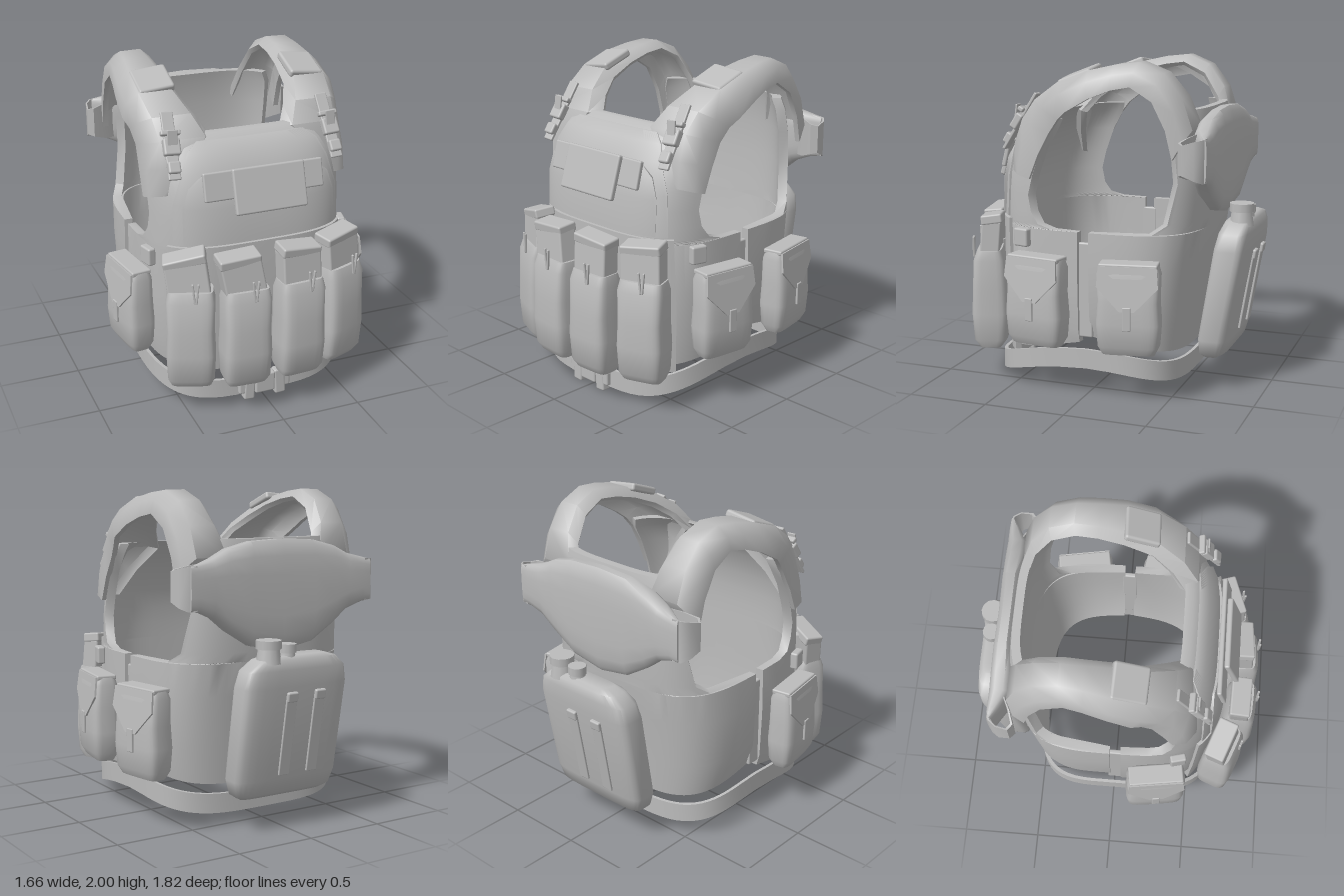
import * as THREE from 'three';
import { toCreasedNormals } from 'three/addons/utils/BufferGeometryUtils.js';
import { RoundedBoxGeometry } from 'three/addons/geometries/RoundedBoxGeometry.js';

const fabric = new THREE.MeshStandardMaterial({ color: 0xbbbbbb, side: THREE.DoubleSide });
fabric.name = 'grey fabric';

function add(parent, name, geo, pos = [0, 0, 0], rot = [0, 0, 0]) {
  const m = new THREE.Mesh(geo, fabric);
  m.name = name;
  m.position.set(...pos);
  m.rotation.set(...rot);
  parent.add(m);
  return m;
}

const box = (w, h, d, r = 0.012) => new RoundedBoxGeometry(w, h, d, 2, Math.min(r, w / 3, h / 3, d / 3));

// Skin a row of closed cross-sections; loop joins the last to the first
function loft(rings, { loop = false, crease = 0.75 } = {}) {
  const n = rings[0].length, pos = rings.flat(2), idx = [];
  const spans = loop ? rings.length : rings.length - 1;
  for (let i = 0; i < spans; i++) {
    const a = i * n, b = ((i + 1) % rings.length) * n;
    for (let j = 0; j < n; j++) {
      const k = (j + 1) % n;
      idx.push(a + j, a + k, b + j, a + k, b + k, b + j);
    }
  }
  if (!loop) {
    // caps pair opposite points so that thin curved sections stay closed
    const e = (rings.length - 1) * n;
    for (let j = 0; j < n / 2 - 1; j++) {
      const p = j, q = j + 1, r = n - 2 - j, s = n - 1 - j;
      idx.push(p, s, q, q, s, r, e + p, e + q, e + s, e + q, e + r, e + s);
    }
  }
  const g = new THREE.BufferGeometry();
  g.setAttribute('position', new THREE.Float32BufferAttribute(pos, 3));
  g.setIndex(idx);
  return toCreasedNormals(g, crease);
}

// Plan curve of the torso: a rounded box outline
const N = 3.6;
const spow = (v, p) => Math.sign(v) * Math.abs(v) ** p;
const plan = (t, hw, zf) => [hw * spow(Math.sin(t), 2 / N), zf * spow(Math.cos(t), 2 / N)];
const tAtZ = (z, zf) => Math.acos((z / zf) ** (N / 2));
const tAtX = (x, hw) => Math.asin((x / hw) ** (N / 2));

// Curved wall; rows: [y, half width, depth, edge angle], lift raises the sides of the first row
function wall(rows, thick, lift = 0, seg = 32) {
  return loft(rows.map(([y, hw, zf, tm], i) => {
    const outer = [], inner = [];
    for (let j = 0; j <= seg; j++) {
      const t = tm * (2 * j / seg - 1);
      const [x, z] = plan(t, hw, zf);
      const [xi, zi] = plan(t, hw - thick, zf - Math.sign(zf) * thick);
      const yy = y + (i === 0 ? lift * (1 - z / zf) : 0);
      outer.push([x, yy, z]);
      inner.push([xi, yy, zi]);
    }
    return outer.concat(inner.reverse());
  }));
}

// Soft block; rows: [y, width, depth, z centre]
function softBlock(rows, power = 5, n = 24) {
  return loft(rows.map(([y, w, d, z = 0]) => Array.from({ length: n }, (_, j) => {
    const a = ((j + 0.5) / n) * Math.PI * 2;
    return [w / 2 * spow(Math.cos(a), 2 / power), y, z + d / 2 * spow(Math.sin(a), 2 / power)];
  })), { crease: 0.9 });
}

const pouchGeo = (w, h, d) => softBlock([
  [0, w * 0.82, d * 0.6], [0.05, w * 0.95, d * 0.9], [h * 0.35, w, d],
  [h * 0.6, w * 0.95, d * 0.95], [h * 0.9, w * 0.98, d * 0.86], [h, w * 0.9, d * 0.66]]);

function torso(g) {
  const fr = (y, hw, zf, ze) => [y, hw, zf, tAtZ(ze, zf)];
  add(g, 'frontPanel', wall([
    fr(0.21, 0.62, 0.6, 0.05), fr(0.4, 0.64, 0.63, 0.05), fr(0.7, 0.65, 0.64, 0.05), fr(1.0, 0.645, 0.645, 0.05),
    fr(1.005, 0.645, 0.645, 0.22), fr(1.03, 0.645, 0.645, 0.31), fr(1.1, 0.64, 0.645, 0.36), fr(1.2, 0.64, 0.64, 0.38),
    fr(1.32, 0.635, 0.625, 0.35), fr(1.48, 0.63, 0.57, 0.29), fr(1.6, 0.62, 0.49, 0.22), fr(1.66, 0.6, 0.42, 0.2)], 0.05, 0.12));
  add(g, 'backPanel', wall([
    fr(0.26, 0.6, -0.54, -0.02), fr(0.5, 0.64, -0.565, -0.02), fr(0.8, 0.65, -0.6, -0.02), fr(1.0, 0.645, -0.63, -0.02),
    fr(1.005, 0.645, -0.63, -0.4), fr(1.06, 0.64, -0.635, -0.48), fr(1.3, 0.63, -0.65, -0.53),
    fr(1.5, 0.62, -0.65, -0.51), fr(1.65, 0.6, -0.635, -0.48), fr(1.72, 0.57, -0.62, -0.47)], 0.05, 0.1));
  const over = (y, x, hw, zf) => [y, hw, zf, tAtX(x, hw)];
  add(g, 'platePocket', wall([over(1.05, 0.53, 0.65, 0.66), over(1.3, 0.52, 0.65, 0.64), over(1.48, 0.46, 0.65, 0.585),
    over(1.58, 0.41, 0.64, 0.52), over(1.63, 0.34, 0.62, 0.465)], 0.025));
  add(g, 'chestPanel', wall([over(1.06, 0.48, 0.65, 0.675), over(1.28, 0.48, 0.65, 0.665), over(1.4, 0.44, 0.65, 0.635),
    over(1.46, 0.36, 0.65, 0.605)], 0.025));
  add(g, 'pouchBacking', wall([over(0.2, 0.55, 0.65, 0.63), over(0.6, 0.57, 0.66, 0.665), over(1.04, 0.56, 0.66, 0.665)], 0.03));
  for (const s of [-1, 1]) {
    add(g, 'sideSeam', box(0.03, 0.58, 0.1), [s * 0.61, 0.645, 0.015]);
    add(g, 'sideTab', box(0.05, 0.11, 0.1), [s * 0.635, 0.945, 0.41], [0, -s * 0.25, 0]);
  }
}

// Rows: outer z, outer y, inner z, inner y, inner x, outer x
const STRAP = [
  [0.5, 1.34, 0.36, 1.3, 0.46, 0.64], [0.49, 1.5, 0.3, 1.45, 0.35, 0.64], [0.44, 1.65, 0.23, 1.58, 0.22, 0.635],
  [0.35, 1.77, 0.17, 1.66, 0.28, 0.65], [0.19, 1.88, 0.11, 1.71, 0.34, 0.675], [0, 1.95, -0.03, 1.79, 0.36, 0.67],
  [-0.16, 1.985, -0.16, 1.84, 0.37, 0.65], [-0.3, 2.0, -0.27, 1.86, 0.37, 0.635], [-0.45, 1.94, -0.4, 1.78, 0.36, 0.63],
  [-0.56, 1.8, -0.48, 1.62, 0.33, 0.625], [-0.62, 1.62, -0.52, 1.45, 0.28, 0.62]];
// Curved shell: across the top, then wrapping down outside towards the armhole and back under
const STRAP_SECTION = [[0, 0, 0.66], [0, 0.055, 1], [1, -0.08, 0.98], [1, -0.01, 0.58], [1, 0, 0],
  [1, -0.035, 0], [1, -0.05, 0.48], [1, -0.1, 0.66], [0, 0.075, 0.68], [0, 0.02, 0.5]];

function shoulder(s) {
  const g = new THREE.Group();
  g.name = s > 0 ? 'leftShoulder' : 'rightShoulder';
  add(g, 'shoulderStrap', loft(STRAP.map(([zo, yo, zi, yi, xi, xo]) => STRAP_SECTION.map(([side, dx, f]) =>
    [s * ((side ? xo : xi) + dx), yi + (yo - yi) * f, zi + (zo - zi) * f])), { crease: 0.9 }));
  add(g, 'shoulderPad', box(0.22, 0.05, 0.22, 0.02), [s * 0.48, 1.91, 0.09], [0.36, 0, -s * 0.12]);
  // quick-release strap and buckle
  const b = new THREE.Group();
  b.name = 'shoulderBuckle';
  b.position.set(s * 0.5, 1.63, 0.465);
  b.rotation.set(-0.55, 0, s * 0.06);
  add(b, 'buckleStrap', box(0.075, 0.4, 0.02));
  add(b, 'buckleBody', box(0.1, 0.1, 0.05), [0, -0.01, 0.015]);
  add(b, 'buckleClip', box(0.075, 0.07, 0.045), [0, -0.13, 0.012]);
  add(b, 'buckleBar', box(0.12, 0.03, 0.04), [0, 0.07, 0.025]);
  add(b, 'strapTail', box(0.06, 0.1, 0.012), [0, 0.03, 0.05], [0.45, 0, 0]);
  g.add(b);
  return g;
}

function magazinePouch(x, z, turn, tilt, lipTilt) {
  const g = new THREE.Group();
  g.name = 'magazinePouch';
  g.position.set(x, 0.21, z);
  g.rotation.y = turn;
  add(g, 'pouchBody', pouchGeo(0.295, 0.62, 0.23));
  const mag = new THREE.Group();
  mag.name = 'magazine';
  mag.position.set(0, 0.56, 0);
  mag.rotation.set(-0.08, 0, tilt);
  add(mag, 'magazineBody', box(0.25, 0.24, 0.12), [0, 0.12, 0]);
  add(mag, 'magazineLip', box(0.255, 0.06, 0.13), [0, 0.245, 0], [0.2, 0, lipTilt]);
  g.add(mag);
  for (const k of [-1, 1])
    add(g, 'pullLoop', box(0.012, 0.13, 0.015), [0.03 + k * 0.011, 0.63, 0.1], [0, 0, -k * 0.1]);
  return g;
}

function sidePouch(s, z, turn) {
  const g = new THREE.Group();
  g.name = 'sidePouch';
  g.position.set(s * 0.715, 0.32, z);
  g.rotation.y = s * (Math.PI / 2 + turn);
  add(g, 'pouchBody', pouchGeo(0.38, 0.535, 0.185));
  const flap = new THREE.Shape([[-0.17, 0], [0.17, 0], [0.18, -0.12], [0.045, -0.26], [-0.045, -0.26], [-0.18, -0.12]]
    .map(p => new THREE.Vector2(...p)));
  add(g, 'pouchFlap', new THREE.ExtrudeGeometry(flap, { depth: 0.012, bevelEnabled: false }), [0, 0.53, 0.06], [-0.12, 0, 0]);
  add(g, 'flapTop', box(0.345, 0.03, 0.125, 0.015), [0, 0.528, 0]);
  add(g, 'flapTab', box(0.05, 0.14, 0.015), [0, 0.23, 0.1]);
  return g;
}

function waterPack() {
  const g = new THREE.Group();
  g.name = 'waterPack';
  add(g, 'packBody', softBlock([[0.2, 0.58, 0.1, -0.67], [0.23, 0.67, 0.17, -0.68], [0.32, 0.72, 0.2, -0.69],
    [0.88, 0.72, 0.21, -0.785], [0.98, 0.68, 0.19, -0.8], [1.04, 0.54, 0.16, -0.81], [1.06, 0.4, 0.11, -0.81]]));
  for (const [x, z, r, h] of [[0.19, -0.83, 0.075, 1.13], [0.06, -0.83, 0.055, 1.1]]) {
    add(g, 'spout', new THREE.CylinderGeometry(r * 0.8, r, 0.1, 12), [x, h - 0.06, z]);
    add(g, 'cap', new THREE.CylinderGeometry(r, r, 0.05, 12), [x, h, z]);
  }
  for (const x of [0.06, -0.14]) {
    add(g, 'packStrap', box(0.075, 0.48, 0.015), [x, 0.58, -0.843], [-0.165, 0, 0]);
    add(g, 'strapHook', box(0.075, 0.06, 0.03), [x, 0.82, -0.885], [-0.165, 0, 0]);
  }
  return g;
}

// Folded hood across the upper back; rows: x, top, bottom, front z, back z
function hood() {
  const g = new THREE.Group();
  g.name = 'hood';
  const half = [[0, 1.72, 1.06, -0.6, -0.73], [0.22, 1.71, 1.1, -0.6, -0.735], [0.38, 1.67, 1.2, -0.59, -0.735],
    [0.48, 1.62, 1.28, -0.6, -0.735], [0.58, 1.595, 1.32, -0.66, -0.735], [0.64, 1.58, 1.33, -0.7, -0.73]];
  const rows = half.slice(1).reverse().map(([x, ...r]) => [-x, ...r]).concat(half);
  add(g, 'hoodFold', loft(rows.map(([x, yt, yb, zf, zb]) => Array.from({ length: 16 }, (_, j) => {
    const a = ((j + 0.5) / 16) * Math.PI * 2, u = spow(Math.cos(a), 0.6), v = spow(Math.sin(a), 0.6);
    return [x, (yt + yb) / 2 + v * (yt - yb) / 2, (zf + zb) / 2 + u * (zf - zb) / 2];
  })), { crease: 0.9 }));
  // open fabric flares at both ends, as thin strips; points: x, z, bottom, top
  const path = [[0.6, -0.725, 1.33, 1.585], [0.655, -0.715, 1.33, 1.58], [0.69, -0.67, 1.35, 1.57],
    [0.7, -0.6, 1.38, 1.55], [0.665, -0.57, 1.37, 1.56], [0.58, -0.6, 1.34, 1.58], [0.48, -0.65, 1.33, 1.6]];
  for (const s of [-1, 1])
    add(g, 'hoodEnd', loft(path.map(([x, z, yb, yt]) => {
      const xi = x + (0.6 - x) * 0.1, zi = z + (-0.66 - z) * 0.15;
      return [[s * x, yb, z], [s * x, yt, z], [s * xi, yt, zi], [s * xi, yb, zi]];
    })));
  return g;
}

function waistBelt() {
  const rings = [];
  for (let i = 0; i < 64; i++) {
    const t = (i / 64) * Math.PI * 2, front = Math.cos(t) > 0;
    const [x, z] = plan(t, 0.655, front ? 0.69 : 0.54), [xi, zi] = plan(t, 0.635, front ? 0.67 : 0.52);
    const y = front ? 0.09 + 0.14 * (1 - (z / 0.69) ** 2) : 0.23 - 0.09 * (z / 0.54) ** 2;
    rings.push([[x, y - 0.06, z], [x, y + 0.06, z], [xi, y + 0.06, zi], [xi, y - 0.06, zi]]);
  }
  return loft(rings, { loop: true });
}

export function createModel() {
  const vest = new THREE.Group();
  vest.name = 'loadCarryingVest';
  torso(vest);
  for (const s of [-1, 1]) vest.add(shoulder(s));

  // chest band and its cover
  add(vest, 'chestBand', box(0.75, 0.17, 0.03), [0.01, 1.41, 0.63], [-0.25, 0, 0]);
  add(vest, 'chestCover', box(0.45, 0.27, 0.035), [0.025, 1.38, 0.685], [-0.3, 0, 0]);

  vest.add(magazinePouch(-0.475, 0.7, -0.36, 0.14, 0.1), magazinePouch(-0.17, 0.8, -0.06, 0.18, -0.12),
    magazinePouch(0.175, 0.8, 0.06, 0.02, -0.12), magazinePouch(0.485, 0.7, 0.36, 0.04, 0.05));
  vest.add(sidePouch(1, 0.28, -0.15), sidePouch(-1, 0.28, -0.15), sidePouch(1, -0.3, 0.18));

  vest.add(hood(), waterPack());

  // waist belt with front clasp
  add(vest, 'waistBelt', waistBelt());
  add(vest, 'claspCentre', box(0.13, 0.13, 0.06), [0, 0.1, 0.7]);
  for (const s of [-1, 1]) {
    add(vest, 'claspEnd', box(0.07, 0.17, 0.06), [s * 0.1, 0.086, 0.695], [0, 0, s * 0.06]);
    add(vest, 'claspProng', box(0.05, 0.09, 0.04), [s * 0.145, 0.09, 0.7]);
  }
  return vest;
}
